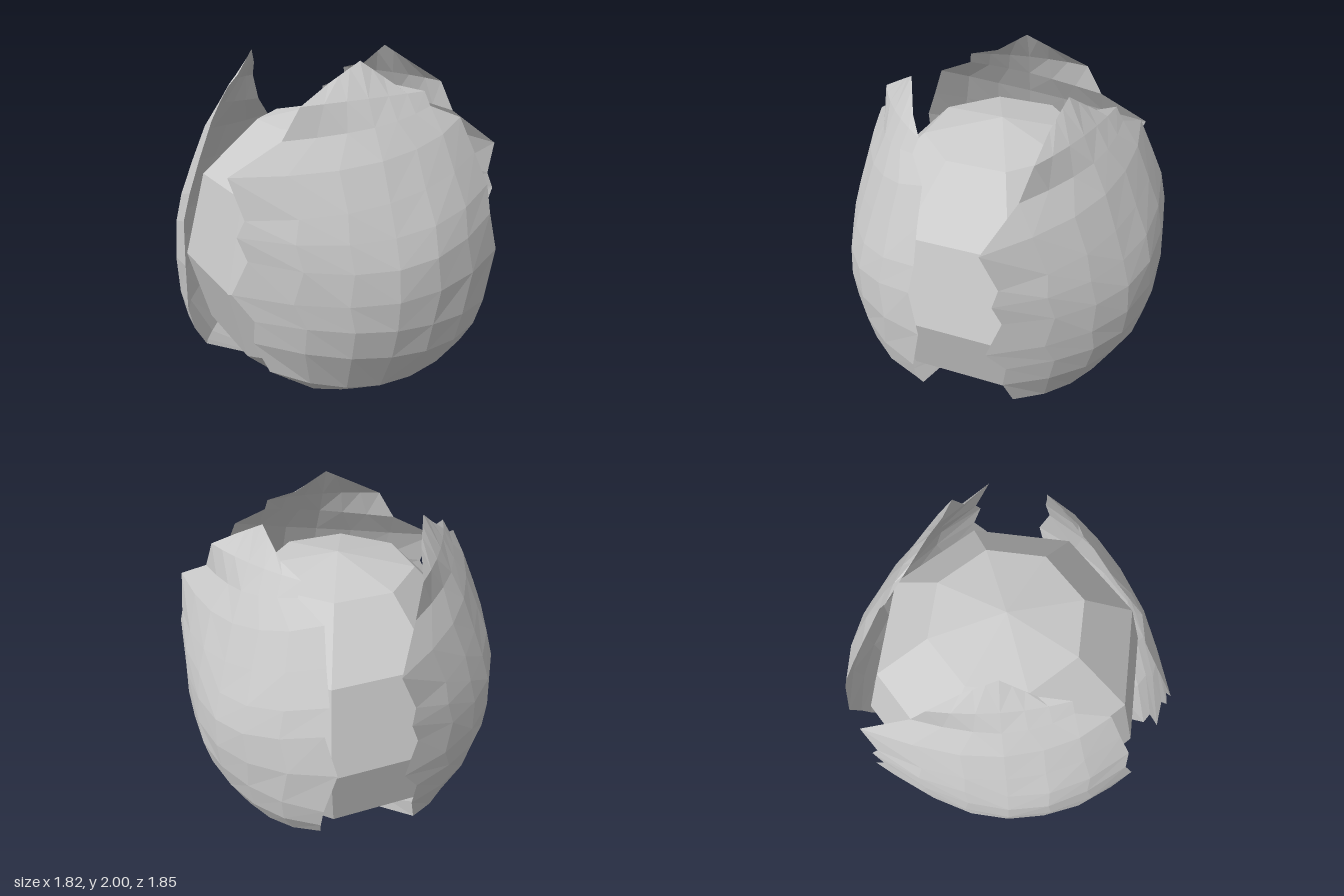
import * as THREE from 'three';

// axis shared by the nut and the three husk leaves
const CX = 0.035, CZ = 0.03;

const material = (side = THREE.FrontSide) =>
  new THREE.MeshStandardMaterial({ color: 0xcccccc, flatShading: true, side });

// leaf rows from tip to base: left edge, midrib, right edge (x, y, z each)
const leafRows = [
  [-0.24, 1.905, 0.49, -0.06, 2.00, 0.48, 0.11, 1.88, 0.54],
  [-0.41, 1.81, 0.52, -0.07, 1.83, 0.58, 0.27, 1.84, 0.57],
  [-0.50, 1.65, 0.50, -0.07, 1.70, 0.64, 0.28, 1.77, 0.61],
  [-0.77, 1.50, 0.47, -0.07, 1.55, 0.72, 0.46, 1.70, 0.63],
  [-0.72, 1.30, 0.54, -0.07, 1.36, 0.80, 0.52, 1.52, 0.69],
  [-0.76, 1.22, 0.53, -0.07, 1.20, 0.86, 0.58, 1.35, 0.74],
  [-0.72, 1.10, 0.56, -0.07, 1.05, 0.90, 0.58, 1.20, 0.78],
  [-0.79, 0.92, 0.51, -0.07, 0.88, 0.91, 0.65, 0.98, 0.77],
  [-0.70, 0.78, 0.57, -0.07, 0.72, 0.90, 0.57, 0.70, 0.79],
  [-0.70, 0.65, 0.55, -0.07, 0.55, 0.86, 0.53, 0.56, 0.77],
  [-0.62, 0.47, 0.56, -0.06, 0.32, 0.74, 0.48, 0.44, 0.72],
  [-0.25, 0.13, 0.33, -0.04, 0.115, 0.42, 0.08, 0.12, 0.40],
  [-0.06, 0.095, 0.08, 0.02, 0.09, 0.10, 0.08, 0.095, 0.08],
];

// curved leaf, each row bowed through left edge, midrib and right edge
function leafGeometry() {
  const cols = 6, position = [], index = [];
  leafRows.forEach((row, i) => {
    for (let j = 0; j <= cols; j++) {
      const t = (j / cols) * 2 - 1;
      const bow = i === 0 ? Math.abs(t) : t * t; // pointed tip, rounded below
      const [x, y, z] = [0, 1, 2].map((k) => {
        const left = row[k], mid = row[k + 3], right = row[k + 6];
        return mid + t * (right - left) / 2 + bow * ((left + right) / 2 - mid);
      });
      // faint uneven dents inside the outline
      const inner = i > 1 && i < 10 ? 1 - t * t : 0;
      const s = 1 + 0.006 * inner * Math.sin(i * 1.3 + j * 1.7);
      position.push((x - CX) * s, y, (z - CZ) * s);
      if (i > 0 && j > 0) {
        const d = i * (cols + 1) + j, c = d - 1, b = d - cols - 1, a = b - 1;
        if (j > cols / 2) index.push(a, c, b, b, c, d);
        else index.push(a, c, d, a, d, b);
      }
    }
  });
  const geometry = new THREE.BufferGeometry();
  geometry.setAttribute('position', new THREE.Float32BufferAttribute(position, 3));
  geometry.setIndex(index);
  geometry.computeVertexNormals();
  return geometry;
}

export function createModel() {
  const model = new THREE.Group();
  model.name = 'huskedNut';

  // eight-sided nut
  const profile = [[0, 0.1], [0.40, 0.135], [0.73, 0.44], [0.85, 0.85],
    [0.73, 1.33], [0.417, 1.635], [0, 1.72]].map(([r, y]) => new THREE.Vector2(r, y));
  const nut = new THREE.Mesh(new THREE.LatheGeometry(profile, 8, Math.PI / 8), material());
  nut.name = 'nut';
  nut.position.set(CX, 0, CZ);
  model.add(nut);

  // three husk leaves wrapped around the nut
  const leaf = leafGeometry();
  for (let i = 0; i < 3; i++) {
    const mesh = new THREE.Mesh(leaf, material(THREE.DoubleSide));
    mesh.name = 'huskLeaf' + (i + 1);
    mesh.position.set(CX, 0, CZ);
    mesh.rotation.y = i * Math.PI * 2 / 3;
    model.add(mesh);
  }

  // short stem stub flaring toward the ground
  const stem = new THREE.Mesh(new THREE.CylinderGeometry(0.17, 0.2, 0.1, 8), material());
  stem.name = 'stem';
  stem.scale.x = 0.9;
  stem.position.set(0.06, 0.05, -0.045);
  model.add(stem);

  return model;
}
